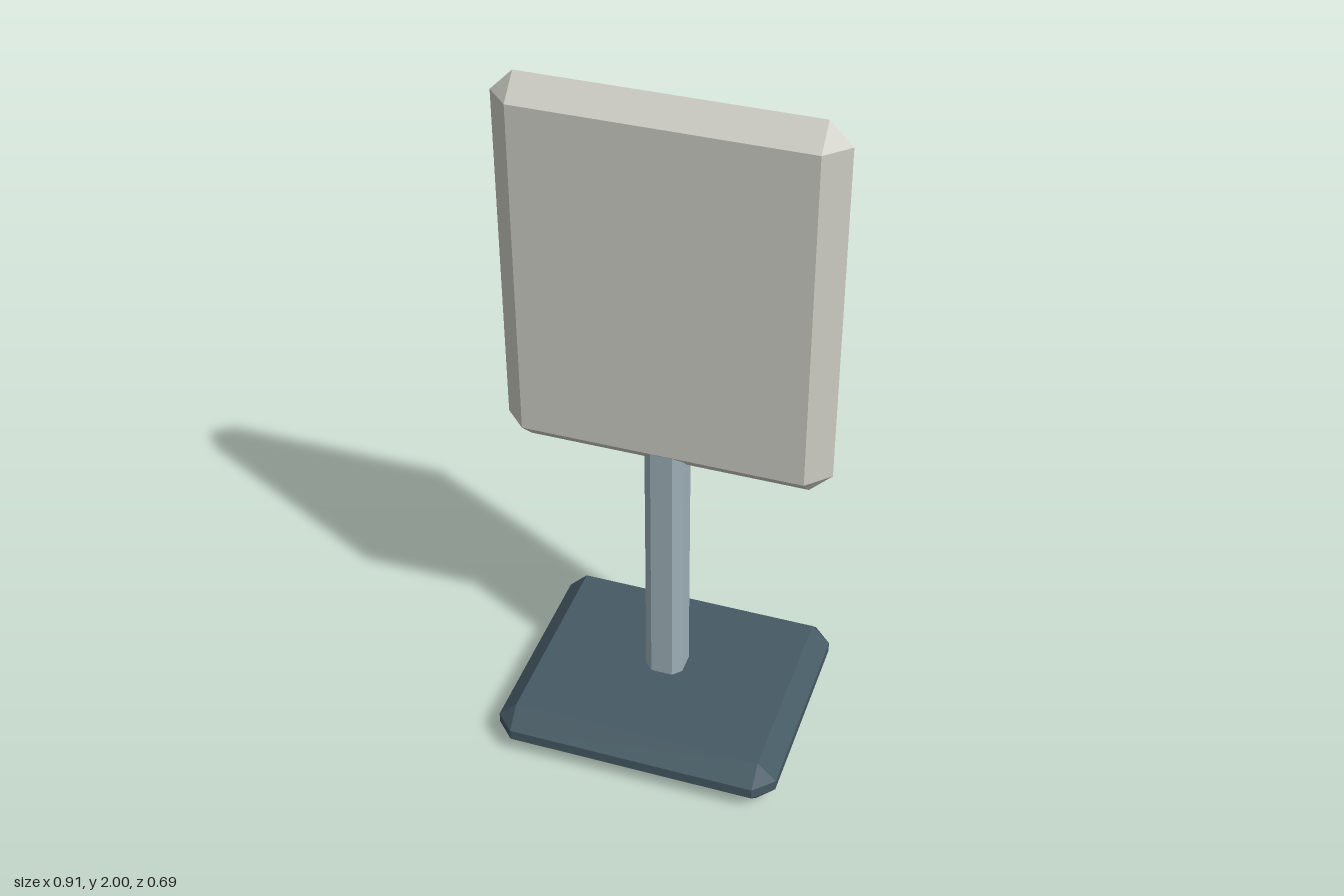
import * as THREE from 'three';
import { ConvexGeometry } from 'three/addons/geometries/ConvexGeometry.js';

const material = (name, color) => {
  const m = new THREE.MeshStandardMaterial({ color, flatShading: true });
  m.name = name;
  return m;
};

// Box with every edge cut at 45 degrees and a small triangle at each corner
function chamferBox(w, h, d, c) {
  const half = [w / 2, h / 2, d / 2];
  const points = new Map();
  for (const sx of [-1, 1]) for (const sy of [-1, 1]) for (const sz of [-1, 1]) {
    for (let axis = 0; axis < 3; axis++) {
      const p = [sx, sy, sz].map((s, i) => s * (half[i] - (i === axis ? 0 : c)) + 0);
      points.set(p.map((v) => v.toFixed(4)).join().replaceAll('-0.0000', '0.0000'), new THREE.Vector3(...p));
    }
  }
  return new ConvexGeometry([...points.values()]);
}

export function createModel() {
  const model = new THREE.Group();
  model.name = 'signStand';

  const slate = material('dark slate', 0x465a64);
  const steel = material('pale steel', 0x9db0b7);
  const offWhite = material('warm grey', 0xcdcdc5);
  const pink = material('soft red', 0xdb958f);

  const add = (name, geometry, mat, x, y, z) => {
    const mesh = new THREE.Mesh(geometry, mat);
    mesh.name = name;
    mesh.position.set(x, y, z);
    model.add(mesh);
    return mesh;
  };

  // Foot, post and board
  add('base', chamferBox(0.826, 0.14, 0.69, 0.054), slate, 0, 0.07, 0);
  add('post', chamferBox(0.11, 0.865, 0.11, 0.024), steel, 0, 0.5675, 0);
  add('panel', chamferBox(0.91, 1.1, 0.124, 0.062), offWhite, 0, 1.45, 0);

  // Diamond-section ring on the back of the board
  add('ring', new THREE.TorusGeometry(0.277, 0.033, 4, 18), pink, 0, 1.495, -0.084);

  // Cross inside the ring
  add('crossUpright', new THREE.BoxGeometry(0.024, 0.34, 0.03), slate, 0, 1.495, -0.069);
  add('crossBar', new THREE.BoxGeometry(0.34, 0.024, 0.03), slate, 0, 1.495, -0.068);

  return model;
}
